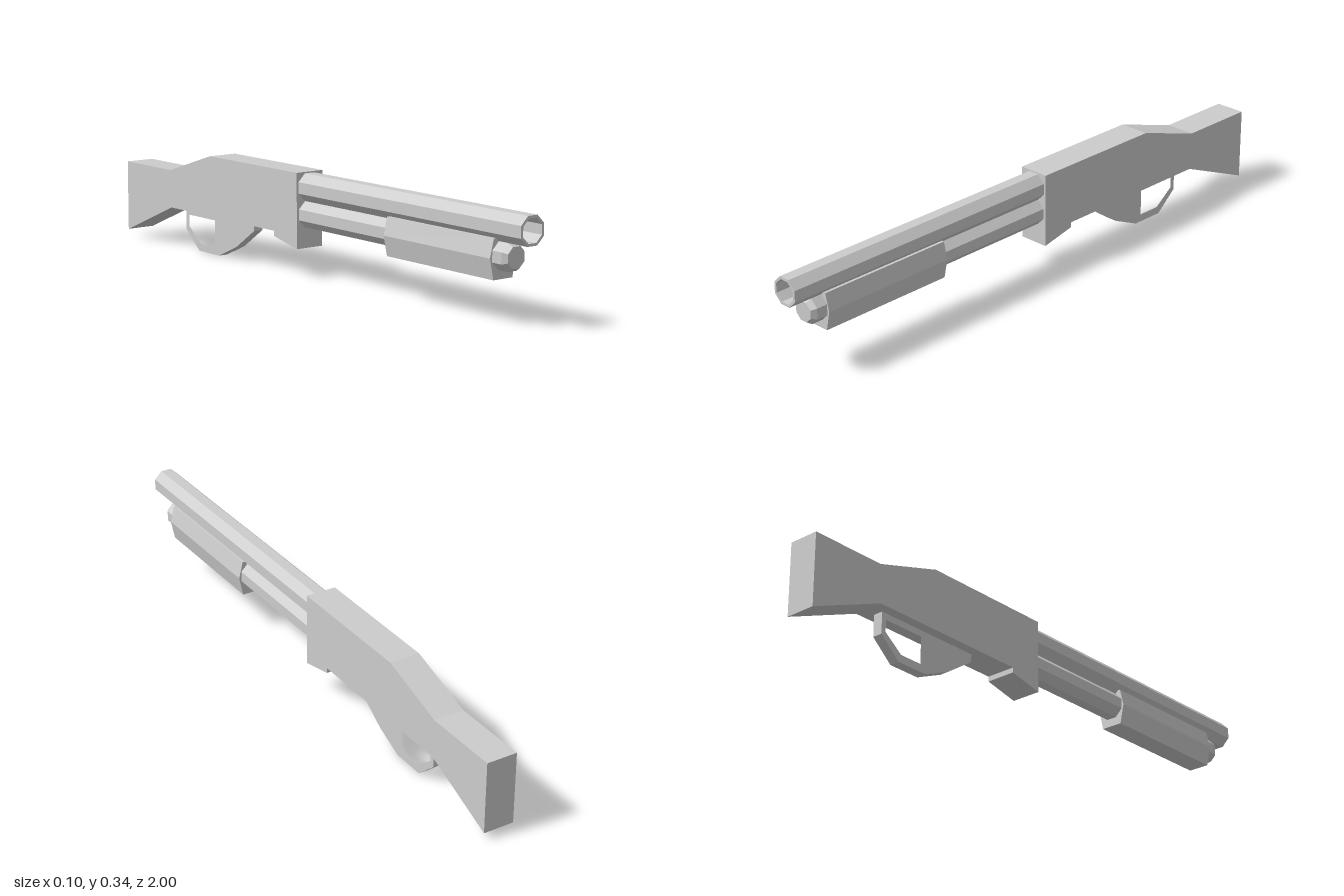
import * as THREE from 'three';

const material = new THREE.MeshStandardMaterial({ color: 0xcccccc, flatShading: true });

const toShape = (pts) => new THREE.Shape(pts.map(([a, b]) => new THREE.Vector2(a, b)));

function part(name, geometry) {
  const mesh = new THREE.Mesh(geometry, material);
  mesh.name = name;
  return mesh;
}

// Side profile given as (z, y), extruded symmetrically across x
function sidePlate(name, profile, width, hole) {
  const shape = toShape(profile);
  if (hole) shape.holes.push(toShape(hole));
  const g = new THREE.ExtrudeGeometry(shape, { depth: width, bevelEnabled: false });
  g.translate(0, 0, -width / 2).rotateY(-Math.PI / 2);
  return part(name, g);
}

// Octagonal turned part along z, profile given as (flat-to-centre radius, z)
function octagonal(name, profile, y) {
  const k = 1 / Math.cos(Math.PI / 8);
  const pts = profile.map(([r, z]) => new THREE.Vector2(r * k, z));
  const g = new THREE.LatheGeometry(pts, 8, Math.PI / 8);
  g.rotateX(Math.PI / 2).translate(0, y, 0);
  return part(name, g);
}

export function createModel() {
  const group = new THREE.Group();

  // Receiver and stock in one slab
  group.add(sidePlate('receiverAndStock', [
    [-0.025, 0.095], [-0.025, 0.341], [-0.5, 0.341], [-0.735, 0.267], [-1, 0.267],
    [-1, 0.026], [-0.73, 0.138], [-0.145, 0.138], [-0.145, 0.121],
  ], 0.103));

  // Trigger guard with its opening
  group.add(sidePlate('triggerGuard', [
    [-0.3, 0.145], [-0.3, 0.112], [-0.4, 0.044], [-0.5, 0], [-0.615, 0],
    [-0.69, 0.065], [-0.69, 0.145],
  ], 0.034, [
    [-0.523, 0.117], [-0.523, 0.026], [-0.605, 0.026], [-0.673, 0.077], [-0.673, 0.117],
  ]));

  // Hollow barrel
  group.add(octagonal('barrel', [
    [0.0445, -0.03], [0.0445, 1], [0.0365, 1], [0.0365, -0.03],
  ], 0.292));

  // Magazine tube with chamfered cap
  group.add(octagonal('magazineTube', [
    [0.0425, -0.03], [0.0425, 0.918], [0.032, 0.935], [0, 0.935],
  ], 0.205));

  // Hexagonal sliding grip
  const grip = new THREE.ExtrudeGeometry(toShape([
    [-0.037, 0.135], [0.037, 0.135], [0.051, 0.2],
    [0.037, 0.257], [-0.037, 0.257], [-0.051, 0.2],
  ]), { depth: 0.475, bevelEnabled: false });
  grip.translate(0, 0, 0.405);
  group.add(part('slideGrip', grip));

  return group;
}
